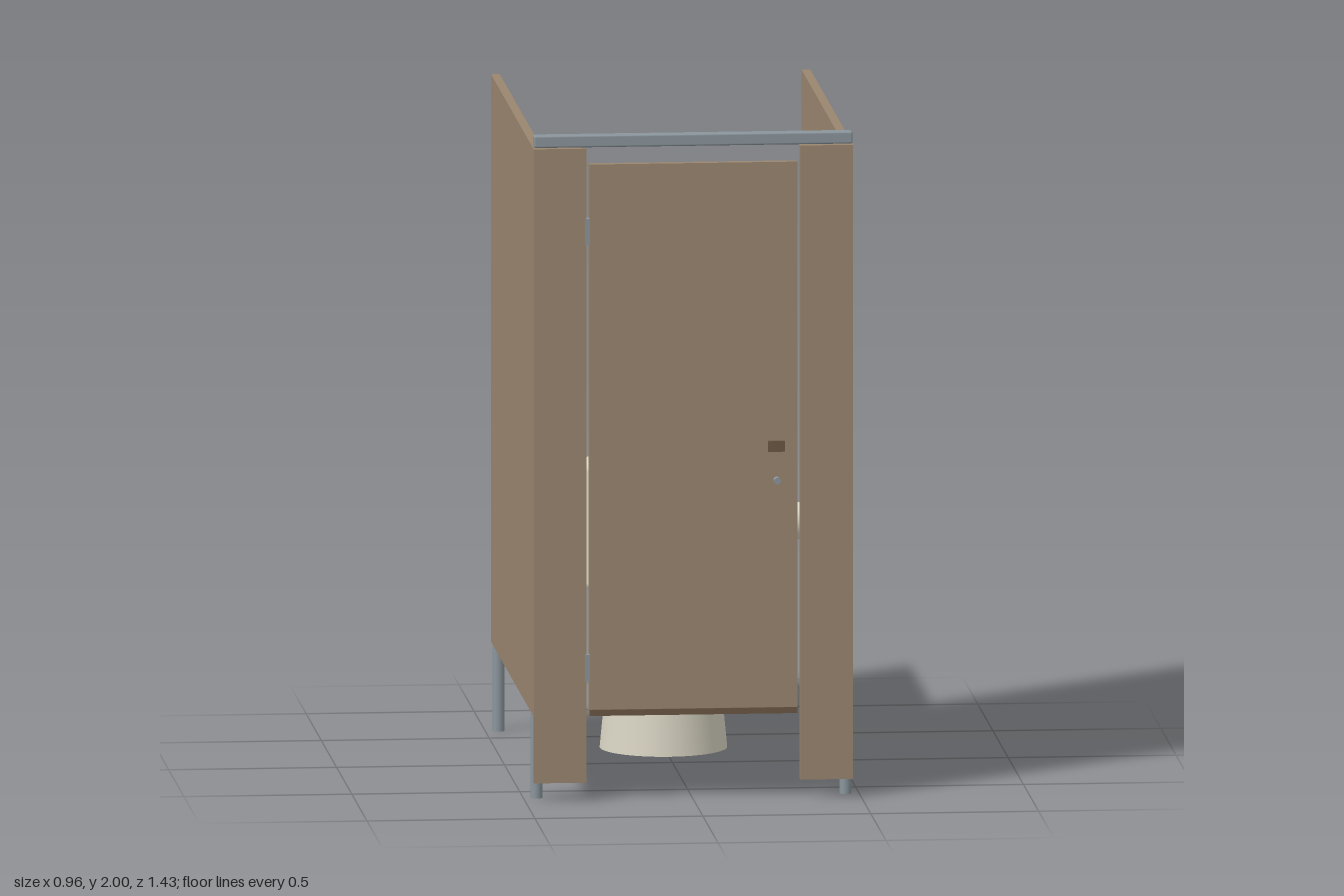
import * as THREE from 'three';
import { RoundedBoxGeometry } from 'three/addons/geometries/RoundedBoxGeometry.js';

const material = (name, color) => {
  const m = new THREE.MeshStandardMaterial({ color });
  m.name = name;
  return m;
};

export function createModel() {
  const root = new THREE.Group();
  root.name = 'restroomStall';

  const brown = material('panelBrown', 0x9a866f);
  const darkBrown = material('trimBrown', 0x6b5743);
  const steel = material('steel', 0x8a959c);
  const porcelain = material('porcelain', 0xd9d4c3);
  const paper = material('paper', 0xded9cb);
  const dark = material('bowlDark', 0x3e352d);

  const add = (name, geometry, mat, x, y, z) => {
    const mesh = new THREE.Mesh(geometry, mat);
    mesh.name = name;
    mesh.position.set(x, y, z);
    root.add(mesh);
    return mesh;
  };
  // Box given by its minimum and maximum corners
  const box = (name, mat, [x0, y0, z0], [x1, y1, z1]) =>
    add(name, new THREE.BoxGeometry(x1 - x0, y1 - y0, z1 - z0), mat,
      (x0 + x1) / 2, (y0 + y1) / 2, (z0 + z1) / 2);

  // Side walls, front pilasters and support legs, mirrored
  for (const [side, s] of [['right', -1], ['left', 1]]) {
    add(side + 'Wall', new THREE.BoxGeometry(0.026, 1.705, 1.38), brown, s * 0.4625, 1.1075, -0.025);
    add(side + 'Pilaster', new THREE.BoxGeometry(0.157, 1.905, 0.025), brown, s * 0.397, 1.0075, 0.6775);
    for (const z of [0.613, -0.635]) {
      add(side + 'Leg', new THREE.CylinderGeometry(0.018, 0.018, 0.256, 16), steel, s * 0.46, 0.128, z);
    }
  }

  // Head rail across the top
  add('headRail', new RoundedBoxGeometry(0.95, 0.037, 0.037, 1, 0.006), steel, 0, 1.9815, 0.671);

  // Door with bottom trim, hinges, latch plate and knob
  box('door', brown, [-0.31, 0.256, 0.665], [0.31, 1.912, 0.69]);
  box('doorBottomTrim', darkBrown, [-0.31, 0.256, 0.69], [0.31, 0.274, 0.695]);
  for (const y of [0.4, 1.71]) {
    box('hinge', steel, [-0.321, y - 0.04, 0.67], [-0.309, y + 0.04, 0.697]);
  }
  box('latchPlate', darkBrown, [0.222, 1.043, 0.69], [0.272, 1.075, 0.703]);
  add('knob', new THREE.CylinderGeometry(0.01, 0.01, 0.03, 14), steel, 0.248, 0.957, 0.703)
    .rotation.x = Math.PI / 2;

  // Toilet pedestal, seat and bowl opening
  const bowlZ = -0.295;
  add('pedestal', new THREE.CylinderGeometry(0.152, 0.19, 0.39, 32), porcelain, 0, 0.195, bowlZ);
  add('seat', new THREE.CylinderGeometry(0.21, 0.21, 0.025, 24), porcelain, 0, 0.4, bowlZ);
  add('bowlOpening', new THREE.CylinderGeometry(0.17, 0.17, 0.004, 32), dark, 0, 0.4135, bowlZ);

  // Cistern with flush lever
  add('cistern', new RoundedBoxGeometry(0.42, 0.38, 0.18, 2, 0.022), porcelain, 0, 0.625, -0.6);
  box('flushLever', porcelain, [-0.152, 0.72, -0.512], [-0.094, 0.74, -0.49]);

  // Paper roll on the left wall
  add('paperRoll', new THREE.CylinderGeometry(0.055, 0.055, 0.113, 24), paper, 0.387, 0.695, -0.166)
    .rotation.z = Math.PI / 2;

  // Scratches on the inside of the right wall, as z, y end points
  const scratches = [
    [-0.23, 1.455, -0.005, 1.516],
    [-0.188, 1.434, 0.027, 1.385],
    [-0.113, 1.32, 0.08, 1.36],
    [-0.03, 1.285, 0.15, 1.235],
  ];
  for (const [z0, y0, z1, y1] of scratches) {
    const length = Math.hypot(z1 - z0, y1 - y0);
    add('scratch', new THREE.BoxGeometry(0.004, 0.009, length), dark, -0.448, (y0 + y1) / 2, (z0 + z1) / 2)
      .rotation.x = -Math.atan2(y1 - y0, z1 - z0);
  }

  return root;
}
